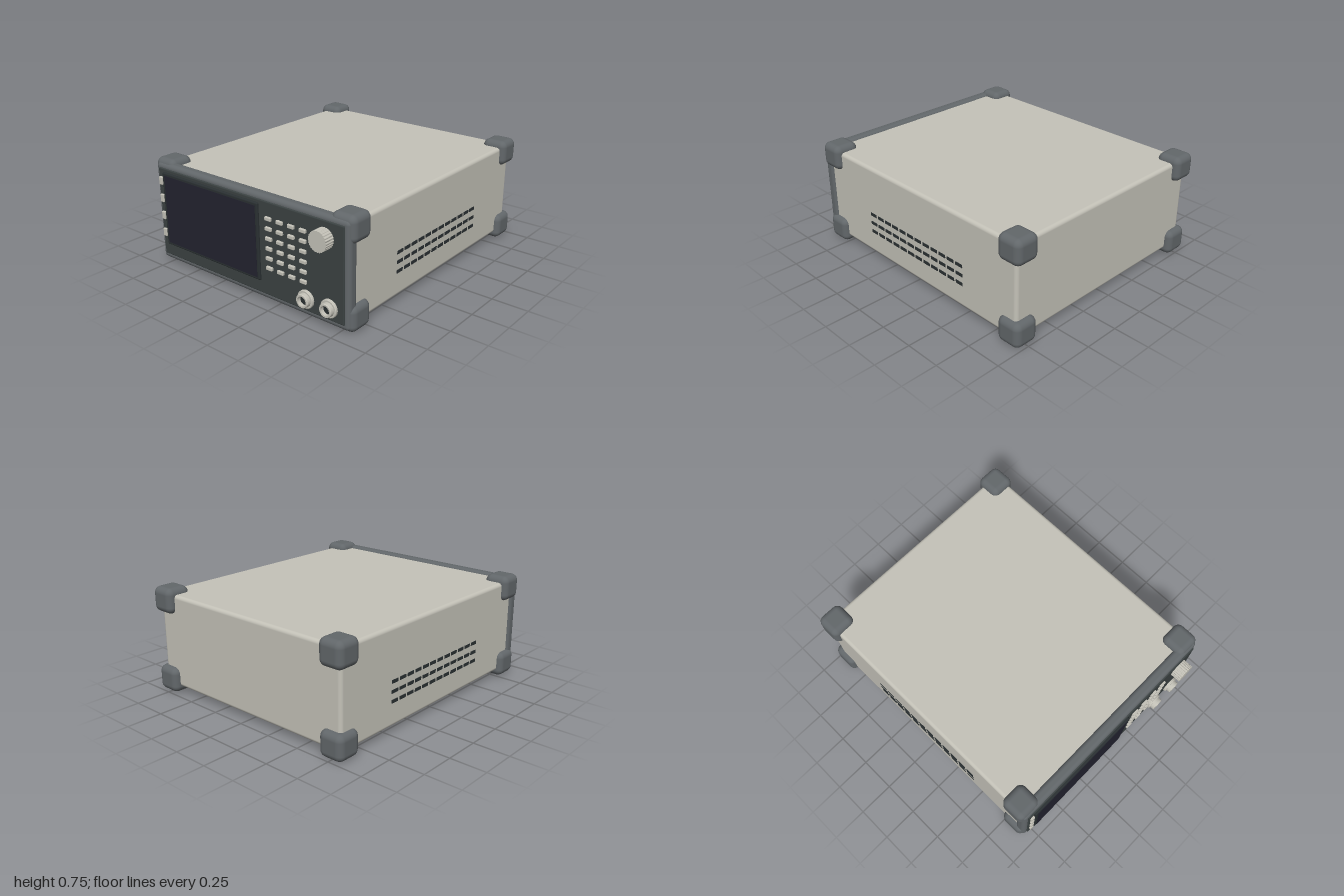
import * as THREE from 'three';
import { RoundedBoxGeometry } from 'three/addons/geometries/RoundedBoxGeometry.js';

const mat = (name, color) => {
  const m = new THREE.MeshStandardMaterial({ color });
  m.name = name;
  return m;
};

export function createModel() {
  const model = new THREE.Group();
  model.name = 'benchInstrument';
  const shell = mat('warmGrey', 0xc4c2b8);
  const rubber = mat('rubberGrey', 0x62676a);
  const panelMat = mat('panelGrey', 0x3b4242);
  const dark = mat('darkTrim', 0x2a3032);
  const glass = mat('screenGlass', 0x22222f);

  const add = (name, geo, material, x = 0, y = 0, z = 0, parent = model) => {
    const mesh = new THREE.Mesh(geo, material);
    mesh.name = name;
    mesh.position.set(x, y, z);
    parent.add(mesh);
    return mesh;
  };
  const group = (name) => {
    const g = new THREE.Group();
    g.name = name;
    model.add(g);
    return g;
  };
  // Rounded box given by its limits
  const block = (name, material, x0, x1, y0, y1, z0, z1, r, parent) =>
    add(name, new RoundedBoxGeometry(x1 - x0, y1 - y0, z1 - z0, 3, r), material,
      (x0 + x1) / 2, (y0 + y1) / 2, (z0 + z1) / 2, parent);

  // Case, front bezel and panel
  block('case', shell, -0.81, 0.81, 0.05, 0.705, -0.955, 0.88, 0.025);
  block('bezel', rubber, -0.825, 0.825, 0.02, 0.722, 0.842, 0.922, 0.03);
  block('frontPanel', panelMat, -0.792, 0.792, 0.06, 0.69, 0.89, 0.93, 0.008);

  // Screen
  block('screenFrame', dark, -0.743, 0.134, 0.147, 0.668, 0.91, 0.944, 0.01);
  add('screen', new THREE.BoxGeometry(0.834, 0.482, 0.004), glass, -0.303, 0.407, 0.944);

  // Corner bumpers
  const bumpers = group('cornerBumpers');
  for (const s of [-1, 1]) {
    for (const y of [0.094, 0.66]) {
      for (const z of [-0.91, 0.822]) {
        add('bumper', new RoundedBoxGeometry(0.18, 0.176, 0.18, 4, 0.045), rubber,
          s * 0.756, y, z, bumpers);
      }
    }
  }

  // Feet, tapering towards the ground
  const feet = group('feet');
  for (const x of [-0.545, 0.545]) {
    for (const z of [-0.65, 0.573]) {
      const geo = new THREE.BoxGeometry(0.156, 0.06, 0.184, 1, 2, 1);
      const p = geo.attributes.position;
      for (let i = 0; i < p.count; i++) {
        if (p.getY(i) < -0.02) {
          p.setX(i, p.getX(i) * 0.87);
          p.setZ(i, p.getZ(i) * 0.89);
        } else if (p.getY(i) < 0.01) p.setY(i, -0.02);
      }
      const flat = geo.toNonIndexed();
      flat.computeVertexNormals();
      add('foot', flat, dark, x, 0.03, z, feet);
    }
  }

  // Side vents
  const vents = group('sideVents');
  const slot = new THREE.BoxGeometry(0.008, 0.022, 0.06);
  for (const s of [-1, 1]) {
    for (const y of [0.353, 0.287, 0.222]) {
      for (let i = 0; i < 12; i++) {
        add('ventSlot', slot, dark, s * 0.81, y, 0.402 - i * 0.0787, vents);
      }
    }
  }

  // Keypad and soft keys
  const keys = group('keypad');
  const keyGeo = new RoundedBoxGeometry(0.05, 0.025, 0.03, 2, 0.005);
  for (let c = 0; c < 4; c++) {
    for (let r = 0; r < 6; r++) {
      add('key', keyGeo, shell, 0.215 + c * 0.0913, 0.584 - r * 0.066, 0.93, keys);
    }
  }
  const softGeo = new RoundedBoxGeometry(0.032, 0.056, 0.03, 2, 0.005);
  for (let r = 0; r < 4; r++) {
    add('softKey', softGeo, shell, -0.764, 0.602 - r * 0.125, 0.93, keys);
  }

  // Ribbed control knob
  const ribs = [];
  for (let i = 0; i < 96; i++) {
    const a = (i / 96) * Math.PI * 2;
    const r = i % 4 < 2 ? 0.067 : 0.064;
    ribs.push(new THREE.Vector2(Math.cos(a) * r, Math.sin(a) * r));
  }
  const knobGeo = new THREE.ExtrudeGeometry(new THREE.Shape(ribs), { depth: 0.075, bevelEnabled: false });
  add('knob', knobGeo, shell, 0.652, 0.583, 0.925);

  // Coaxial connectors: stepped ring around a dark socket
  const profile = [[0.06, -0.015], [0.06, 0.014], [0.056, 0.018], [0.046, 0.018],
    [0.046, 0.042], [0.042, 0.047], [0.032, 0.047], [0.032, 0.01]];
  const pts = [];
  profile.forEach(([r, h], i) => {
    // Doubled points keep the edges crisp
    pts.push(new THREE.Vector2(r, h));
    if (i > 0 && i < profile.length - 1) pts.push(new THREE.Vector2(r, h));
  });
  const ringGeo = new THREE.LatheGeometry(pts, 32).toNonIndexed();
  ringGeo.computeVertexNormals();
  ringGeo.rotateX(Math.PI / 2);
  const socketGeo = new THREE.CylinderGeometry(0.033, 0.033, 0.03, 24).rotateX(Math.PI / 2);
  for (const x of [0.507, 0.686]) {
    const connector = group('connector');
    connector.position.set(x, 0.144, 0.93);
    add('connectorRing', ringGeo, shell, 0, 0, 0, connector);
    add('connectorSocket', socketGeo, dark, 0, 0, 0.006, connector);
  }
  return model;
}
